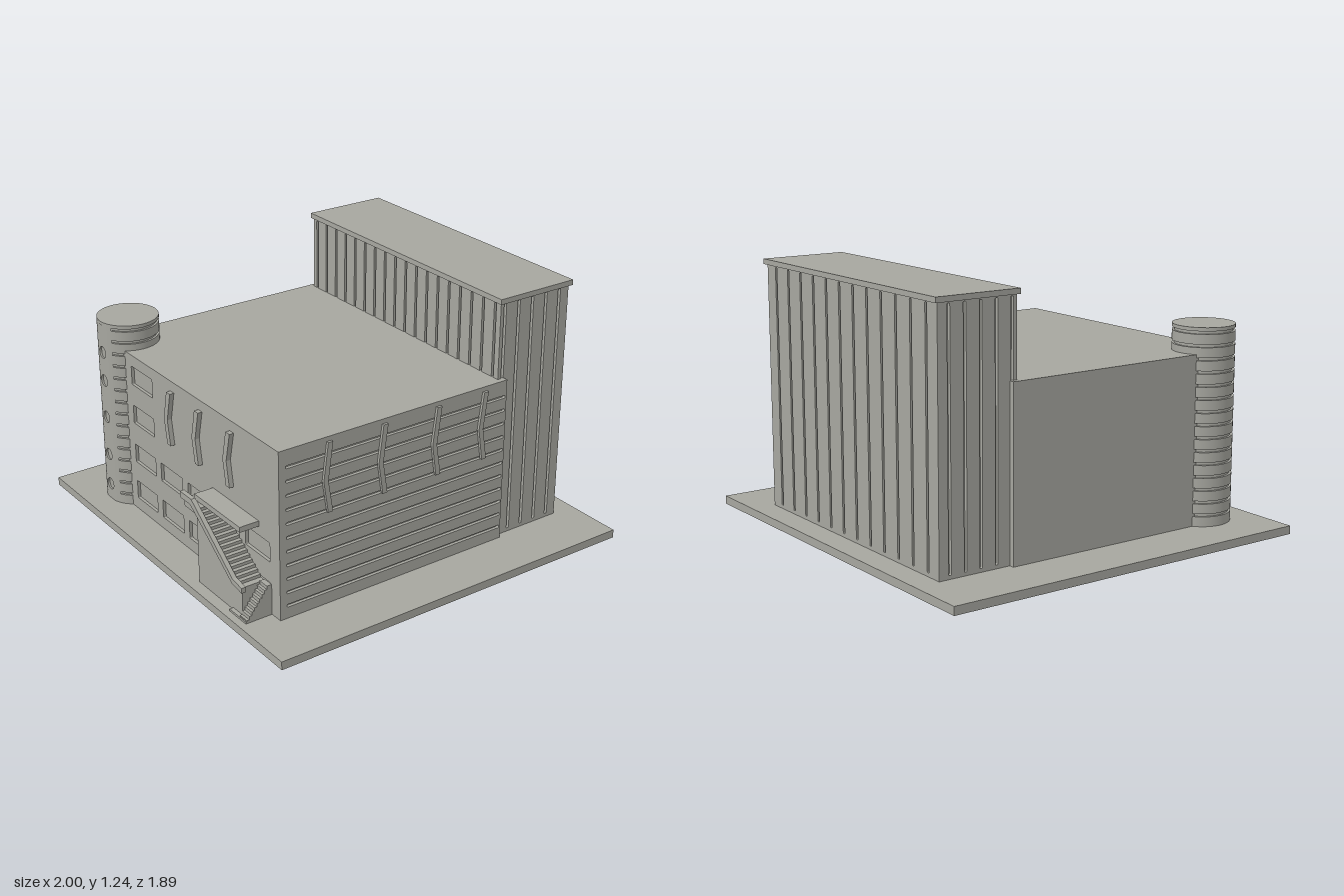
import * as THREE from 'three';

const concrete = new THREE.MeshStandardMaterial({ color: 0xa6a69f });
concrete.name = 'concrete grey';

function add(parent, name, geometry, x = 0, y = 0, z = 0, rotY = 0) {
  const mesh = new THREE.Mesh(geometry, concrete);
  mesh.name = name;
  mesh.position.set(x, y, z);
  mesh.rotation.y = rotY;
  parent.add(mesh);
  return mesh;
}

// Box given by its limits
function block(parent, name, x0, x1, y0, y1, z0, z1) {
  return add(parent, name, new THREE.BoxGeometry(x1 - x0, y1 - y0, z1 - z0),
    (x0 + x1) / 2, (y0 + y1) / 2, (z0 + z1) / 2);
}

// Rectangle outline with slightly rounded corners
function roundedRect(path, x0, x1, y0, y1, r) {
  path.moveTo(x0 + r, y0);
  path.lineTo(x1 - r, y0);
  path.quadraticCurveTo(x1, y0, x1, y0 + r);
  path.lineTo(x1, y1 - r);
  path.quadraticCurveTo(x1, y1, x1 - r, y1);
  path.lineTo(x0 + r, y1);
  path.quadraticCurveTo(x0, y1, x0, y1 - r);
  path.lineTo(x0, y0 + r);
  path.quadraticCurveTo(x0, y0, x0 + r, y0);
  return path;
}

const polygon = (points) => new THREE.Shape(points.map(([x, y]) => new THREE.Vector2(x, y)));
const extrude = (shape, depth) =>
  new THREE.ExtrudeGeometry(shape, { depth, bevelEnabled: false, curveSegments: 4 });

// Wall slab with rectangular recesses [x0, x1, y0, y1]
function panel(x0, x1, y0, y1, depth, recesses) {
  const shape = polygon([[x0, y0], [x1, y0], [x1, y1], [x0, y1]]);
  for (const r of recesses) shape.holes.push(roundedRect(new THREE.Path(), ...r, 0.005));
  return extrude(shape, depth);
}

// Evenly spaced positions
const series = (n, start, step) => Array.from({ length: n }, (_, i) => start + i * step);

function mainHall(model) {
  const hall = new THREE.Group();
  hall.name = 'mainHall';
  const d = 0.015;
  block(hall, 'hallCore', -0.74, 0.74 - d, 0.04, 0.85, -0.46, 0.775 - d);

  // Front wall with recessed windows
  const windows = [[-0.485, 0.5], [-0.485, 0.7]];
  for (const y of [0.1, 0.295]) for (const x of series(5, -0.485, 0.24)) windows.push([x, y]);
  add(hall, 'frontWall', panel(-0.74, 0.74, 0.04, 0.85, d,
    windows.map(([x, y]) => [x, x + 0.19, y, y + 0.093])), 0, 0, 0.775 - d);

  // Side wall with horizontal grooves
  add(hall, 'groovedSideWall', panel(d - 0.775, 0.46, 0.04, 0.85, d,
    series(11, 0.102, 0.0667).map((y) => [-0.74, 0.452, y - 0.007, y + 0.007])),
  0.74 - d, 0, 0, Math.PI / 2);

  // Bent fins on the front and the side
  const fin = extrude(polygon([
    [-0.016, 0.8], [-0.046, 0.66], [-0.024, 0.537], [0.005, 0.537], [-0.016, 0.66], [0.016, 0.8],
  ]), 0.022);
  for (const x of [-0.112, 0.128, 0.384]) add(hall, 'frontFin', fin, x, 0, 0.775);
  const sideFin = extrude(polygon([
    [-0.013, 0.828], [-0.036, 0.65], [-0.013, 0.497], [0.012, 0.497], [-0.012, 0.65], [0.012, 0.828],
  ]), 0.013);
  for (const z of [0.52, 0.23, -0.065, -0.33]) add(hall, 'sideFin', sideFin, 0.74, 0, z, Math.PI / 2);
  model.add(hall);
}

function rearTower(model) {
  const tower = new THREE.Group();
  tower.name = 'rearTower';
  const d = 0.016, w = 0.715, z0 = -0.825, z1 = -0.425, top = 1.215;
  block(tower, 'towerCore', -w + d, w - d, 0.04, top, z0 + d, z1 - d);
  block(tower, 'towerCap', -0.727, 0.727, top, 1.24, -0.84, -0.415);

  // Vertical grooves on every face
  const slots = (xs, y0 = 0.057) => xs.map((x) => [x - 0.007, x + 0.007, y0, 1.208]);
  add(tower, 'towerFront', panel(-w, w, 0.04, top, d, slots(series(18, -0.683, 0.08), 0.8)), 0, 0, z1 - d);
  add(tower, 'towerBack', panel(-w, w, 0.04, top, d, slots(series(12, -0.6325, 0.115))),
    0, 0, z0 + d, Math.PI);
  const zs = series(5, -0.45, -0.08);
  add(tower, 'towerLeftSide', panel(d - z1, -z0 - d, 0.04, top, d, slots(zs.map((z) => -z))),
    w - d, 0, 0, Math.PI / 2);
  add(tower, 'towerRightSide', panel(z0 + d, z1 - d, 0.04, top, d, slots(zs)),
    -w + d, 0, 0, -Math.PI / 2);
  model.add(tower);
}

function roundTower(model) {
  const turret = new THREE.Group();
  turret.name = 'roundTower';
  turret.position.set(-0.656, 0, 0.688);
  const R = 0.146, y0 = 0.04, y1 = 0.958, h = y1 - y0, mid = (y0 + y1) / 2;
  add(turret, 'turretCore', new THREE.CylinderGeometry(R - 0.011, R - 0.011, h, 48), 0, mid, 0);
  add(turret, 'turretCap', new THREE.CylinderGeometry(R, R, 0.017, 48), 0, y1 + 0.0085, 0);

  // Stacked bands, left open at the smooth front strip
  const n = 15, step = h / n, edge = 0.506;
  const band = new THREE.CylinderGeometry(R, R, step - 0.014, 40, 1, false, edge, 2 * Math.PI - 2 * edge);
  for (let i = 0; i < n; i++) add(turret, 'turretBand', band, 0, y0 + (i + 0.5) * step - 0.007, 0);

  // Front strip with portholes
  const half = 0.033, a = Math.asin(half / R);
  const strip = polygon([[-half, y0], [half, y0], [half, y1], [-half, y1]]);
  for (const y of [0.815, 0.67, 0.48, 0.28, 0.12]) {
    strip.holes.push(new THREE.Path().absarc(0, y, 0.029, 0, Math.PI * 2, true));
  }
  add(turret, 'portholeStrip', new THREE.ExtrudeGeometry(strip,
    { depth: 0.012, bevelEnabled: false, curveSegments: 16 }), 0, 0, R * Math.cos(a) - 0.012);
  for (const start of [a, -edge]) {
    add(turret, 'stripSide', new THREE.CylinderGeometry(R, R, h, 6, 1, false, start, edge - a), 0, mid, 0);
  }
  model.add(turret);
}

// Stepped outline descending from (x0, y0) to (x1, y1), closed at the floor
function stairShape(x0, y0, x1, y1, steps, floor, end) {
  const points = [[x0, floor], [x0, y0]];
  const dx = (x1 - x0) / steps, dy = (y1 - y0) / steps;
  for (let i = 1; i <= steps; i++) {
    points.push([x0 + i * dx, y0 + (i - 1) * dy], [x0 + i * dx, y0 + i * dy]);
  }
  if (end > x1) points.push([end, y1]);
  points.push([Math.max(end, x1), floor]);
  return polygon(points);
}

function outsideStair(model) {
  const stair = new THREE.Group();
  stair.name = 'outsideStair';
  const wall = 0.775, outer = 0.89;
  add(stair, 'upperFlight', extrude(stairShape(0.262, 0.42, 0.59, 0.185, 16, 0.04, 0.62), outer - wall), 0, 0, wall);
  block(stair, 'upperLanding', 0.16, 0.262, 0.38, 0.42, wall, outer);
  block(stair, 'canopy', 0.215, 0.583, 0.432, 0.458, wall, 0.872);
  block(stair, 'lowerLanding', 0.62, 0.675, 0.04, 0.19, wall, 0.8);
  block(stair, 'footPad', 0.545, 0.675, 0.04, 0.05, outer, 0.91);
  // Lower flight runs out from the wall
  add(stair, 'lowerFlight', extrude(stairShape(-0.905, 0.055, -0.8, 0.19, 8, 0.04, -0.8), 0.055),
    0.62, 0, 0, Math.PI / 2);
  // Outer handrail following the slope
  add(stair, 'handrail', extrude(polygon([
    [0.16, 0.43], [0.245, 0.43], [0.572, 0.193], [0.65, 0.18],
    [0.65, 0.205], [0.578, 0.218], [0.255, 0.46], [0.16, 0.46],
  ]), 0.022), 0, 0, outer);
  model.add(stair);
}

export function createModel() {
  const model = new THREE.Group();
  model.name = 'building';
  block(model, 'basePlate', -1, 1, 0, 0.04, -0.945, 0.945);
  mainHall(model);
  rearTower(model);
  roundTower(model);
  outsideStair(model);
  return model;
}
